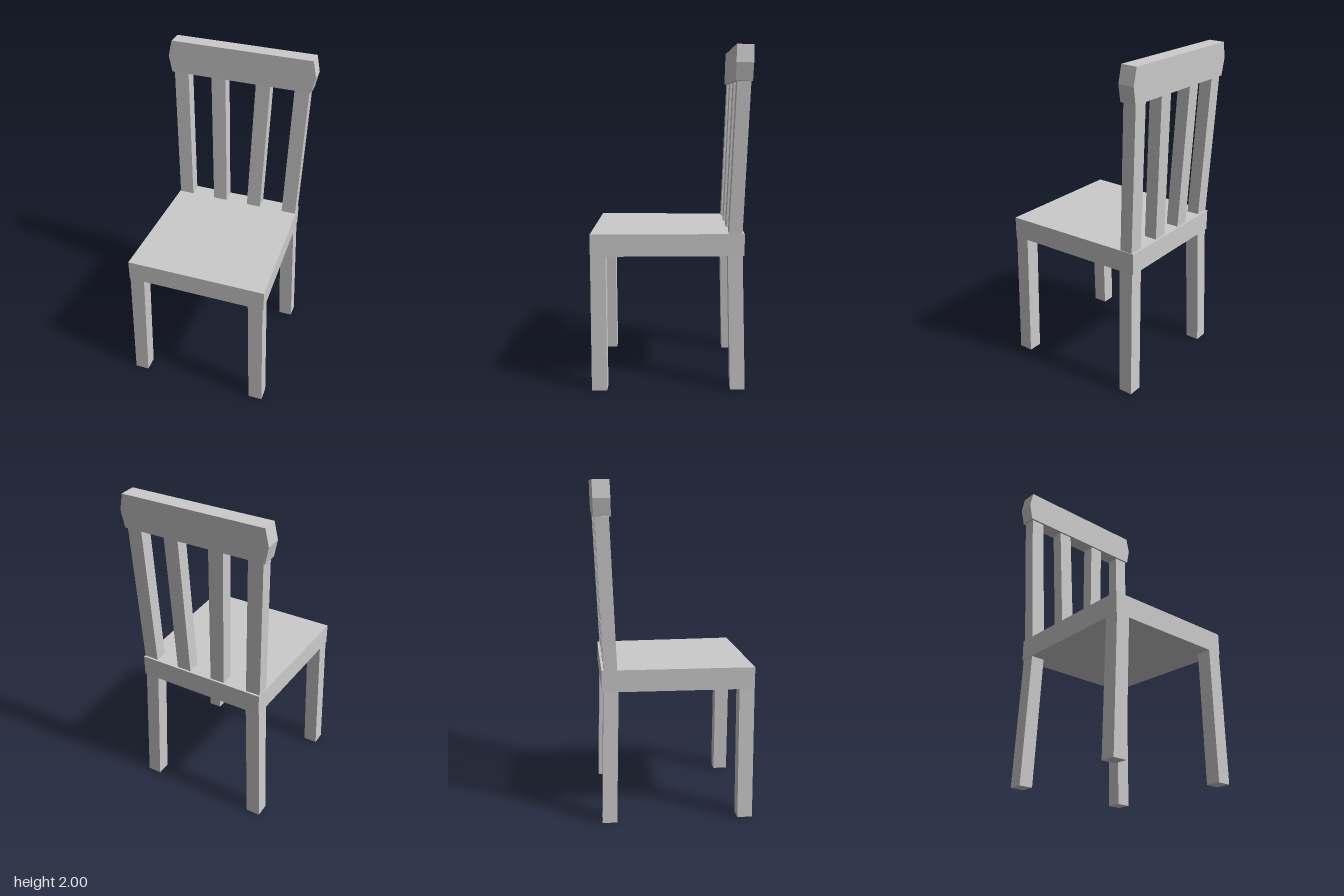
import * as THREE from 'three';

const material = new THREE.MeshStandardMaterial({ color: 0xcccccc, flatShading: true });

// Six-sided block between two heights; each end is [x0, x1, z0, z1].
function leaningBar(name, y0, y1, bottom, top) {
  const geometry = new THREE.BoxGeometry(1, 1, 1);
  const p = geometry.attributes.position;
  for (let i = 0; i < p.count; i++) {
    const end = p.getY(i) > 0 ? top : bottom;
    p.setXYZ(i, end[p.getX(i) > 0 ? 1 : 0], p.getY(i) > 0 ? y1 : y0, end[p.getZ(i) > 0 ? 3 : 2]);
  }
  geometry.computeVertexNormals();
  const mesh = new THREE.Mesh(geometry, material);
  mesh.name = name;
  return mesh;
}

// Mirror an end rectangle across x = 0.
const mirror = ([x0, x1, z0, z1]) => [-x1, -x0, z0, z1];

function addPair(group, name, y0, y1, bottom, top) {
  group.add(leaningBar('left' + name, y0, y1, bottom, top));
  group.add(leaningBar('right' + name, y0, y1, mirror(bottom), mirror(top)));
}

// Flat panel with the given outline, pushed from its back face towards +z.
function panel(name, points, depth) {
  const shape = new THREE.Shape(points.map(([x, y]) => new THREE.Vector2(x, y)));
  const geometry = new THREE.ExtrudeGeometry(shape, { depth, bevelEnabled: false });
  const mesh = new THREE.Mesh(geometry, material);
  mesh.name = name;
  return mesh;
}

export function createModel() {
  const chair = new THREE.Group();
  chair.name = 'chair';

  // Seat, narrower at the back
  const seat = panel('seat', [[-0.427, -0.465], [0.427, -0.465], [0.403, 0.43], [-0.403, 0.43]], 0.13);
  seat.rotation.x = -Math.PI / 2;
  seat.position.y = 0.8;
  chair.add(seat);

  // Splayed legs
  addPair(chair, 'FrontLeg', 0, 0.8, [0.355, 0.443, 0.373, 0.463], [0.332, 0.422, 0.375, 0.465]);
  addPair(chair, 'BackLeg', 0, 0.8, [0.338, 0.426, -0.44, -0.353], [0.312, 0.4, -0.42, -0.333]);

  // Backrest slats, leaning back and fanning outwards
  const slatZ = [[-0.417, -0.339], [-0.452, -0.373]];
  [['OuterSlat', 0.311, 0.335], ['InnerSlat', 0.071, 0.096]].forEach(([name, low, high]) =>
    addPair(chair, name, 0.93, 1.8, [low, low + 0.09, ...slatZ[0]], [high, high + 0.09, ...slatZ[1]]));

  // Top rail with pointed ends, tilted slightly back
  const rail = panel('topRail', [
    [-0.437, -0.1], [0.437, -0.1], [0.458, 0], [0.437, 0.1], [-0.437, 0.1], [-0.458, 0],
  ], 0.097);
  rail.position.set(0, 1.9, -0.462);
  rail.rotation.x = -0.025;
  chair.add(rail);

  return chair;
}
